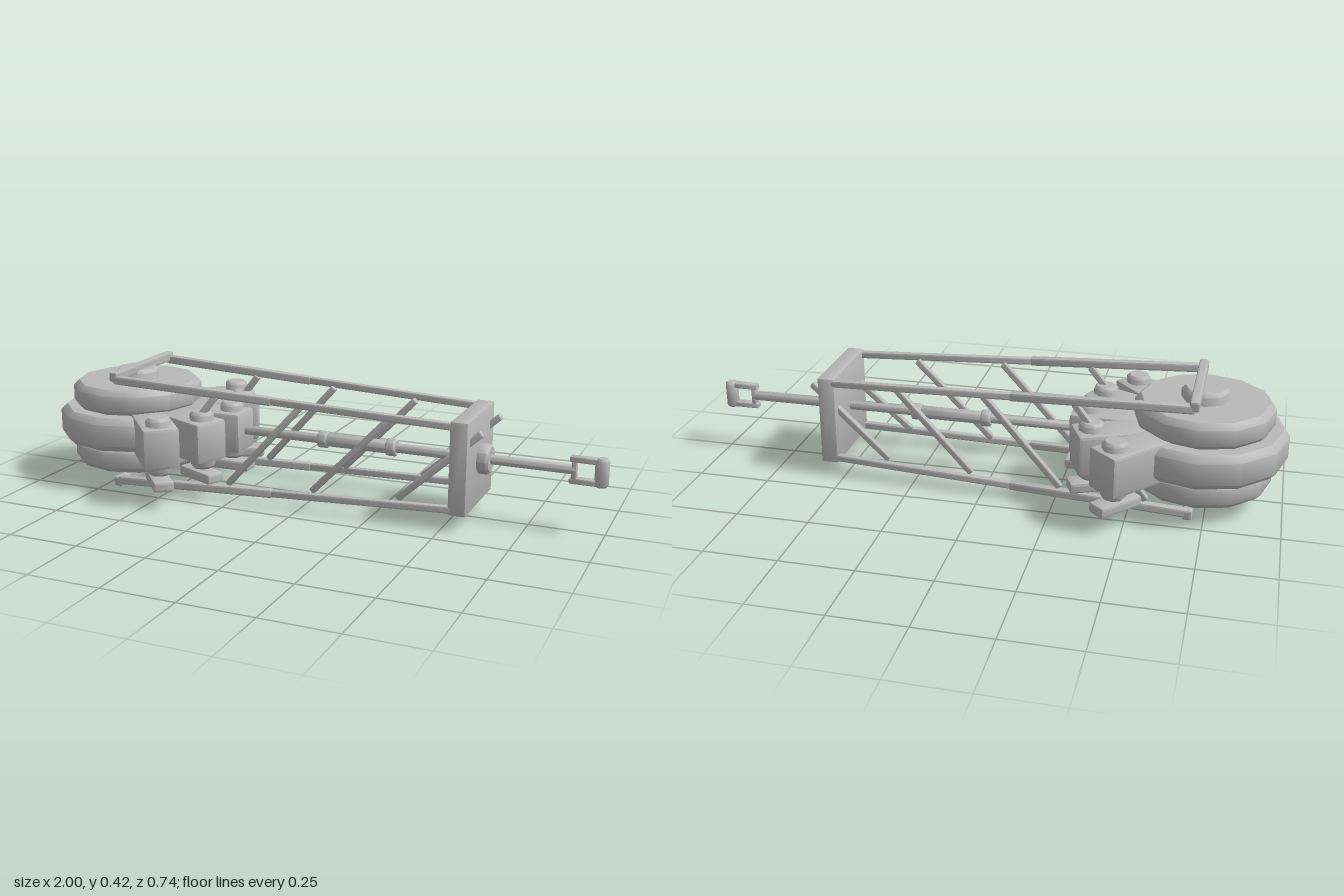
import * as THREE from 'three';
import { toCreasedNormals } from 'three/addons/utils/BufferGeometryUtils.js';
import { RoundedBoxGeometry } from 'three/addons/geometries/RoundedBoxGeometry.js';

export function createModel() {
  const model = new THREE.Group();
  const grey = new THREE.MeshStandardMaterial({ color: 0xb8b8b8 });
  grey.name = 'grey metal';
  const AXIS_Y = 0.207, DRUM_X = -0.72;

  const add = (name, geometry, parent = model) => {
    const mesh = new THREE.Mesh(geometry, grey);
    mesh.name = name;
    parent.add(mesh);
    return mesh;
  };

  // box with chamfered edges
  const block = (name, w, h, d, x, y, z, bevel = 0.008, parent = model) => {
    const m = add(name, toCreasedNormals(new RoundedBoxGeometry(w, h, d, 1, bevel), 0.5), parent);
    m.position.set(x, y, z);
    return m;
  };

  // chamfered cylinder standing from y0 to y1
  const disc = (name, r, y0, y1, bevel, sides, parent = model) => {
    const profile = [[0, y0], [r - bevel, y0], [r, y0 + bevel], [r, y1 - bevel], [r - bevel, y1], [0, y1]]
      .map(([x, y]) => new THREE.Vector2(x, y));
    return add(name, toCreasedNormals(new THREE.LatheGeometry(profile, sides), 0.79), parent);
  };

  // the same cylinder lying along x on the main axis
  const shaft = (name, r, x0, x1, bevel, sides = 8) => {
    const m = disc(name, r, x0, x1, bevel, sides);
    m.rotation.z = -Math.PI / 2;
    m.position.y = AXIS_Y;
    return m;
  };

  // square bar between two points
  const bar = (name, a, b, size) => {
    const p = new THREE.Vector3(...a), q = new THREE.Vector3(...b);
    const m = block(name, size, size, p.distanceTo(q), 0, 0, 0, size * 0.25);
    m.position.copy(p).add(q).multiplyScalar(0.5);
    m.lookAt(q);
    return m;
  };

  // stacked drum
  const drum = new THREE.Group();
  drum.name = 'drum';
  drum.position.x = DRUM_X;
  model.add(drum);
  disc('drumHub', 0.08, 0.012, 0.398, 0.012, 8, drum);
  disc('lowerDisc', 0.235, 0.058, 0.152, 0.02, 12, drum);
  disc('middleDisc', 0.282, 0.148, 0.268, 0.022, 12, drum);
  disc('upperDisc', 0.232, 0.264, 0.357, 0.02, 12, drum);

  // fan of bolted blocks with tabs beneath
  for (let i = -2; i <= 2; i++) {
    const arm = new THREE.Group();
    arm.name = 'clampArm';
    arm.rotation.y = THREE.MathUtils.degToRad(24.4 * i);
    drum.add(arm);
    block('clampBlock', 0.26, 0.142, 0.124, 0.312, 0.205, 0, 0.01, arm);
    disc('clampBolt', 0.043, 0.104, 0.306, 0.01, 8, arm).position.x = 0.386;
    block('clampTab', 0.17, 0.038, 0.07, 0.375, 0.078, 0, 0.01, arm);
  }

  // truss chords in two lengths, and the cross bars at the drum end
  for (const top of [false, true]) {
    const chordY = (x) => top ? 0.391 - (x + 0.7) * 0.037 : 0.022 + (x + 0.7) * 0.037;
    for (const side of [-1, 1]) {
      const at = (x) => [x, chordY(x), side * (0.162 - 0.033 * x)];
      bar('rearChord', at(-0.7), at(-0.097), 0.03);
      bar('frontChord', at(-0.103), at(0.54), 0.025);
    }
    block('crossBar', 0.032, 0.036, 0.4, -0.698, top ? 0.402 : 0.018, 0);
  }

  // diagonal braces on both sides, the last pair passing through the end plate
  const braces = [[-0.56, 0.05, -0.31, 0.365], [-0.27, 0.055, 0, 0.355], [0.04, 0.065, 0.31, 0.345], [0.34, 0.075, 0.615, 0.325]];
  for (const side of [-1, 1]) {
    const z = (x) => side * (0.148 - 0.055 * x);
    for (const [x0, y0, x1, y1] of braces) {
      bar('brace', [x0, y0, z(x0)], [x1, y1, z(x1)], 0.023);
    }
  }

  // end plate and its bushing
  block('endPlate', 0.06, 0.314, 0.314, 0.55, AXIS_Y, 0, 0.006);
  shaft('bushing', 0.051, 0.57, 0.618, 0.008, 10);

  // central rod with sleeve and collars
  shaft('rod', 0.017, -0.3, 0.895, 0.003);
  shaft('sleeve', 0.024, 0.02, 0.275, 0.004);
  shaft('collar', 0.031, 0.005, 0.04, 0.005);
  shaft('collar', 0.031, 0.255, 0.29, 0.005);

  // tip fork holding an upright pin
  block('forkBack', 0.016, 0.08, 0.028, 0.89, AXIS_Y, 0, 0.004);
  for (const s of [-1, 1]) {
    block('forkProng', 0.1, 0.02, 0.03, 0.925, AXIS_Y + s * 0.036, 0, 0.005);
  }
  disc('tipPin', 0.023, 0.159, 0.255, 0.007, 8).position.x = 0.977;

  return model;
}
